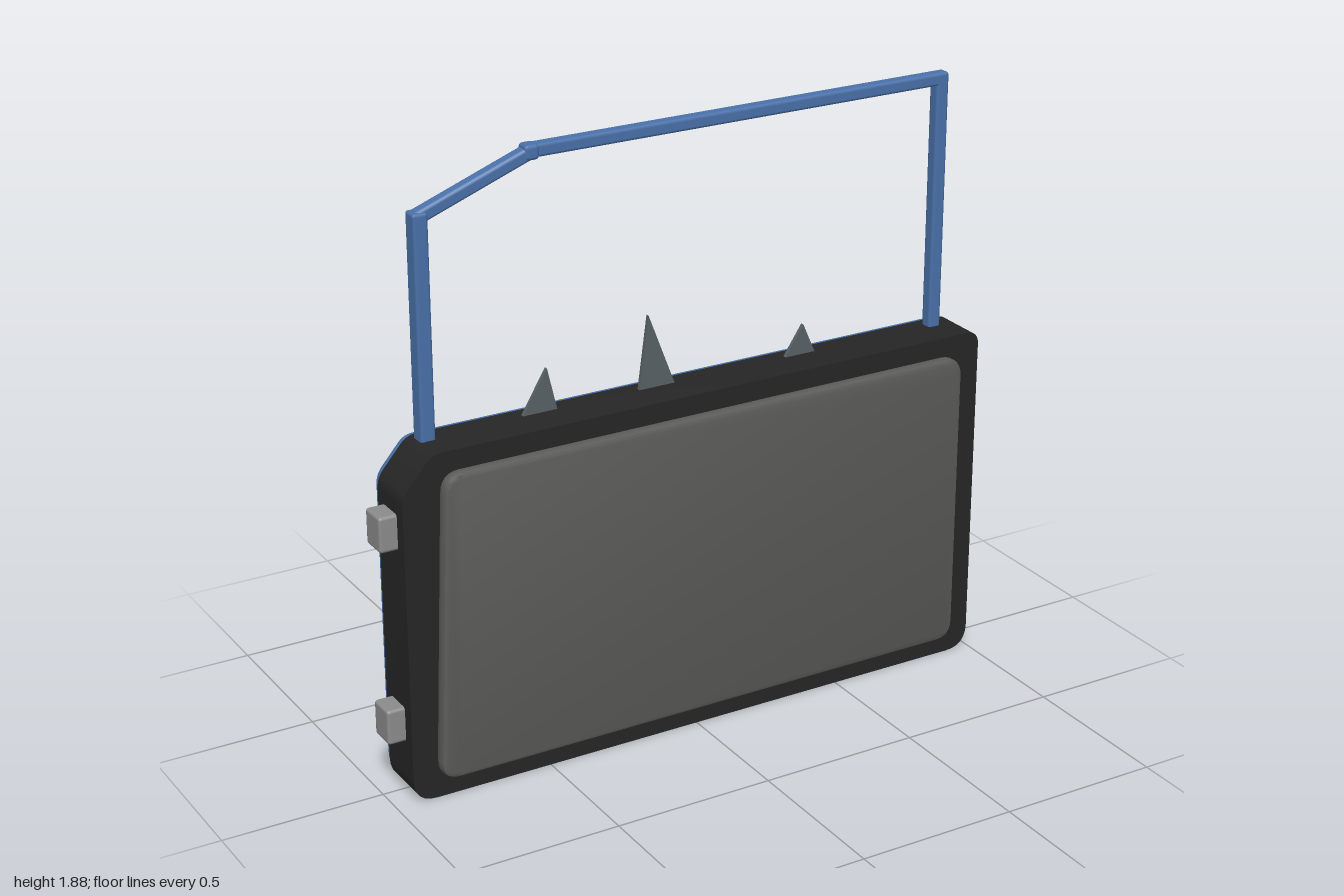
import * as THREE from 'three';
import { toCreasedNormals } from 'three/addons/utils/BufferGeometryUtils.js';
import { RoundedBoxGeometry } from 'three/addons/geometries/RoundedBoxGeometry.js';

const paint = (color) => new THREE.MeshStandardMaterial({ color });

// Closed outline from [x, y, cornerRadius] points
function roundedOutline(points) {
  const shape = new THREE.Shape();
  const n = points.length;
  points.forEach(([x, y, r], i) => {
    const p = new THREE.Vector2(x, y);
    const toward = (q) => new THREE.Vector2(q[0], q[1]).sub(p).setLength(r).add(p);
    const a = toward(points[(i + n - 1) % n]);
    const b = toward(points[(i + 1) % n]);
    if (i === 0) shape.moveTo(a.x, a.y);
    else shape.lineTo(a.x, a.y);
    shape.quadraticCurveTo(x, y, b.x, b.y);
  });
  shape.closePath();
  return shape;
}

// Slab between two depths with bevelled rims that stay inside the outline
function slab(shape, zBack, zFront, bevel = 0) {
  const geometry = new THREE.ExtrudeGeometry(shape, {
    depth: zFront - zBack - 2 * bevel,
    bevelEnabled: bevel > 0,
    bevelThickness: bevel,
    bevelSize: bevel,
    bevelOffset: -bevel,
    bevelSegments: 2,
    curveSegments: 6,
  });
  geometry.translate(0, 0, zBack + bevel);
  return toCreasedNormals(geometry, 0.5);
}

// Door outline with a cut front corner, shrunk by an inset
const doorOutline = (i) => roundedOutline([
  [-0.945 + i, i, 0.075],
  [0.995 - i, i, 0.075],
  [0.995 - i, 1.075 - i, 0.045],
  [-0.85 + i * 0.5, 1.075 - i, 0.03],
  [-0.945 + i, 0.965 - i * 0.5, 0.03],
]);

export function createModel() {
  const door = new THREE.Group();
  door.name = 'vehicleDoor';

  const dark = paint(0x262626);
  const trim = paint(0x5c5c5a);
  const blue = paint(0x4a72ab);
  const metal = paint(0x8c8c8c);
  const rust = paint(0x7d624a);
  const glass = paint(0x586266);

  function add(name, geometry, material, x = 0, y = 0, z = 0, parent = door) {
    const mesh = new THREE.Mesh(geometry, material);
    mesh.name = name;
    mesh.position.set(x, y, z);
    parent.add(mesh);
    return mesh;
  }

  // Core, outer skin and inner trim
  add('doorCore', slab(doorOutline(0), -0.065, 0.095), dark);
  add('outerSkin', slab(doorOutline(0.008), -0.101, -0.06, 0.012), blue);
  const panel = roundedOutline([
    [-0.87, 0.065, 0.06], [0.915, 0.065, 0.06], [0.915, 1.015, 0.06], [-0.828, 1.015, 0.06],
  ]);
  add('innerTrimPanel', slab(panel, 0.085, 0.13, 0.013), trim);

  // Details on the outer skin
  add('bodyCrease', new THREE.BoxGeometry(1.83, 0.02, 0.012), blue, 0.04, 0.645, -0.101);
  add('rustStrip', new THREE.BoxGeometry(1.75, 0.09, 0.012), rust, 0.04, 0.06, -0.1);
  add('doorHandle', new RoundedBoxGeometry(0.23, 0.042, 0.035, 2, 0.01), metal, 0.685, 0.92, -0.118);
  const lock = add('keyLock', new THREE.CylinderGeometry(0.018, 0.018, 0.03, 16), metal, 0.88, 0.92, -0.11);
  lock.rotation.x = Math.PI / 2;

  // Window frame
  const frame = new THREE.Group();
  frame.name = 'windowFrame';
  door.add(frame);
  const zFrame = -0.022;
  function bar(name, from, to, width, depth) {
    const a = new THREE.Vector2(...from);
    const b = new THREE.Vector2(...to);
    const mid = a.clone().add(b).multiplyScalar(0.5);
    const geometry = new RoundedBoxGeometry(width, a.distanceTo(b), depth, 1, 0.01);
    const mesh = add(name, geometry, blue, mid.x, mid.y, zFrame, frame);
    mesh.rotation.z = b.sub(a).angle() - Math.PI / 2;
  }
  bar('frontPost', [-0.815, 1.03], [-0.815, 1.74], 0.047, 0.056);
  bar('slopedRail', [-0.825, 1.72], [-0.455, 1.857], 0.04, 0.042);
  bar('topRail', [-0.48, 1.855], [0.922, 1.855], 0.04, 0.042);
  bar('rearPost', [0.9, 1.03], [0.9, 1.86], 0.043, 0.042);
  add('railJoint', new RoundedBoxGeometry(0.045, 0.046, 0.052, 1, 0.012), blue, -0.47, 1.853, zFrame, frame);

  // Broken glass shards: left, right, tip x, tip y
  const shards = [
    [-0.512, -0.398, -0.43, 1.205],
    [-0.13, -0.01, -0.098, 1.3],
    [0.367, 0.475, 0.432, 1.168],
  ];
  for (const [left, right, tipX, tipY] of shards) {
    const shape = new THREE.Shape([
      new THREE.Vector2(left, 1.07), new THREE.Vector2(right, 1.07), new THREE.Vector2(tipX, tipY),
    ]);
    add('glassShard', slab(shape, zFrame - 0.006, zFrame + 0.006), glass);
  }

  // Hinges on the front edge
  for (const y of [0.24, 0.845]) {
    add('hinge', new RoundedBoxGeometry(0.07, 0.11, 0.09, 2, 0.01), metal, -0.965, y, 0.01);
  }

  return door;
}
